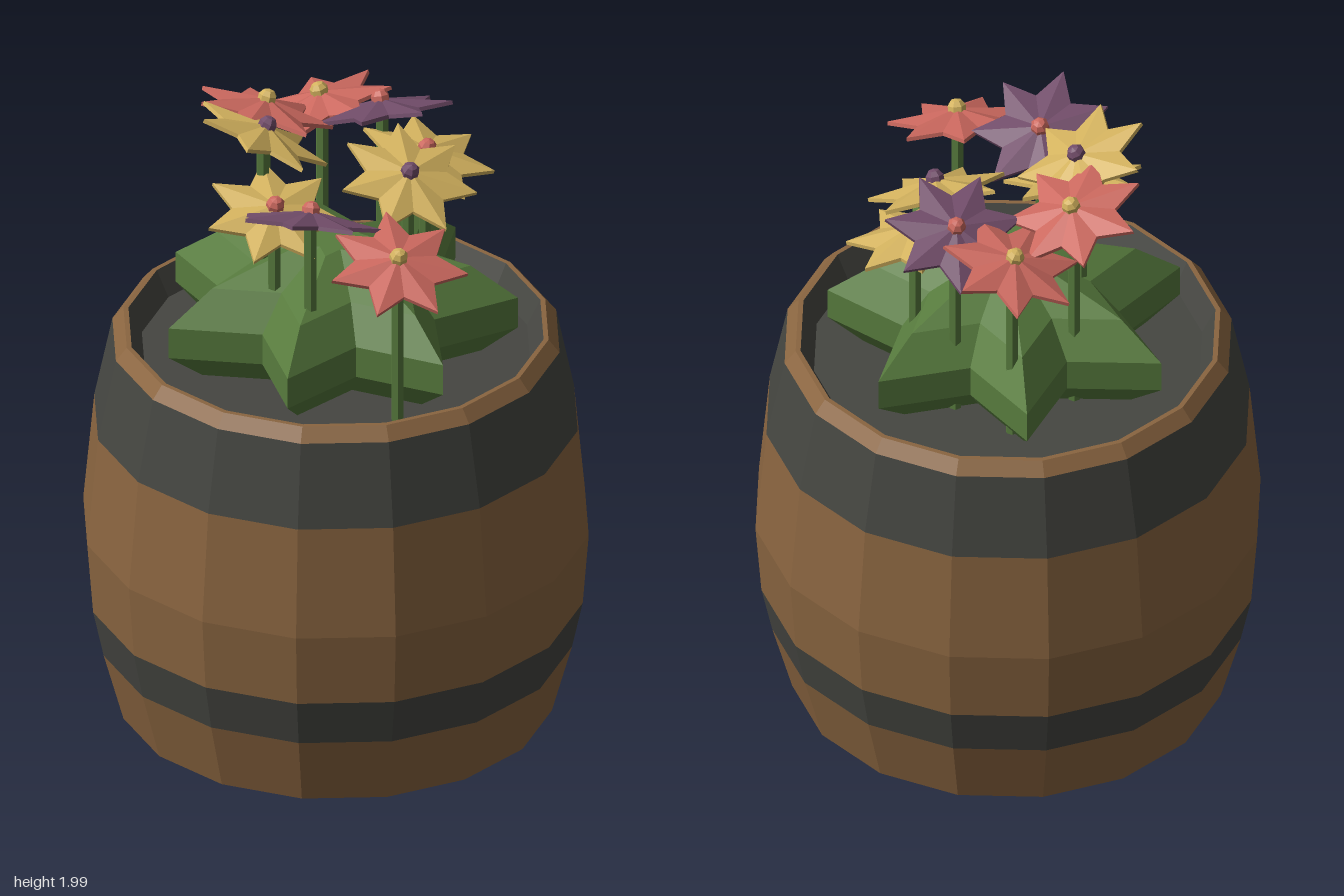
import * as THREE from 'three';

const mat = (name, color) => Object.assign(new THREE.MeshStandardMaterial({ color }), { name });

// Faceted normals for the low-poly look
function flat(geo) {
  const g = geo.index ? geo.toNonIndexed() : geo;
  g.computeVertexNormals();
  return g;
}

// Seven-pointed star solid lofted through [scale, y] layers, bottom to top
function starGeometry(points, tip, valley, layers) {
  const n = points * 2, pos = [], idx = [];
  for (const [s, y] of layers) {
    for (let i = 0; i < n; i++) {
      const a = (i / n) * Math.PI * 2, r = (i % 2 ? valley : tip) * s;
      pos.push(Math.cos(a) * r, y, Math.sin(a) * r);
    }
  }
  for (let l = 0; l < layers.length - 1; l++) {
    for (let i = 0; i < n; i++) {
      const a = l * n + i, b = l * n + (i + 1) % n, c = a + n, d = b + n;
      if (layers[l][0] > 0) idx.push(a, d, b);
      if (layers[l + 1][0] > 0) idx.push(a, c, d);
      else if (layers[l][0] > 0) idx.splice(idx.length - 3, 3, a, c, b);
    }
  }
  const g = new THREE.BufferGeometry();
  g.setAttribute('position', new THREE.Float32BufferAttribute(pos, 3));
  g.setIndex(idx);
  return flat(g);
}

export function createModel() {
  const model = new THREE.Group();
  model.name = 'barrelPlanter';

  const wood = mat('wood', 0x8a6540);
  const iron = mat('darkIron', 0x454641);
  const leaf = mat('leafGreen', 0x587c3e);
  const red = mat('petalRed', 0xcb685e);
  const yellow = mat('petalYellow', 0xd3b25e);
  const purple = mat('petalPurple', 0x714c69);

  const add = (parent, name, geo, material) => {
    const m = new THREE.Mesh(geo, material);
    m.name = name;
    parent.add(m);
    return m;
  };

  // Barrel: stacked rings of one sixteen-sided profile
  const barrel = new THREE.Group();
  barrel.name = 'barrel';
  model.add(barrel);
  const soilY = 1.17;
  const rings = [
    ['lowerStaves', wood, [[0, 0], [0.645, 0], [0.705, 0.22]]],
    ['lowerHoop', iron, [[0.705, 0.22], [0.737, 0.37]]],
    ['middleStaves', wood, [[0.737, 0.37], [0.755, 0.6], [0.722, 0.95]]],
    ['upperHoop', iron, [[0.722, 0.95], [0.668, 1.21]]],
    ['rim', wood, [[0.668, 1.21], [0.635, 1.25], [0.62, 1.25]]],
    ['innerWallAndSoil', iron, [[0.62, 1.25], [0.58, soilY], [0, soilY]]],
  ];
  for (const [name, material, profile] of rings) {
    const pts = profile.map(([x, y]) => new THREE.Vector2(x, y));
    add(barrel, name, flat(new THREE.LatheGeometry(pts, 16)), material);
  }

  // Leafy mound with seven points
  add(model, 'foliage', starGeometry(7, 0.537, 0.33, [
    [0.8, soilY], [1, 1.25], [1, 1.35], [0.74, 1.455], [0.22, 1.54], [0, 1.54],
  ]), leaf);

  // Flowers: x, y, z, tilt x, tilt z, petal colour, centre colour
  const petals = starGeometry(7, 0.21, 0.125, [[0, -0.012], [1, -0.012], [1, 0.0], [0, 0.035]]);
  const bud = flat(new THREE.SphereGeometry(0.029, 7, 5));
  const flowers = [
    [-0.33, 1.79, -0.19, -0.25, 0.15, red, yellow],
    [-0.29, 1.86, 0.05, -0.05, -0.35, red, yellow],
    [0.46, 1.69, 0.11, 0.36, 0.12, red, yellow],
    [-0.14, 1.82, -0.27, -0.4, -0.1, purple, red],
    [0.2, 1.76, 0.24, -0.3, -0.35, purple, red],
    [-0.12, 1.89, 0.18, 0.1, -0.5, yellow, purple],
    [0.02, 1.71, 0.24, 0.33, 0.1, yellow, red],
    [0.14, 1.75, -0.16, 0.45, 0.05, yellow, purple],
    [0.02, 1.72, -0.31, 0.2, -0.1, yellow, red],
  ];
  const up = new THREE.Vector3(0, 1, 0);
  for (const [x, y, z, tx, tz, petalMat, budMat] of flowers) {
    const flower = new THREE.Group();
    flower.name = 'flower';
    model.add(flower);

    const h = y - soilY;
    const stem = add(flower, 'stem', flat(new THREE.CylinderGeometry(0.02, 0.02, h, 6)), leaf);
    stem.position.set(x, soilY + h / 2, z);

    const head = new THREE.Group();
    head.name = 'flowerHead';
    head.position.set(x, y, z);
    head.quaternion.setFromUnitVectors(up, new THREE.Vector3(tx, 1, tz).normalize());
    flower.add(head);
    add(head, 'petals', petals, petalMat);
    add(head, 'flowerCentre', bud, budMat).position.y = 0.035;
  }
  return model;
}
